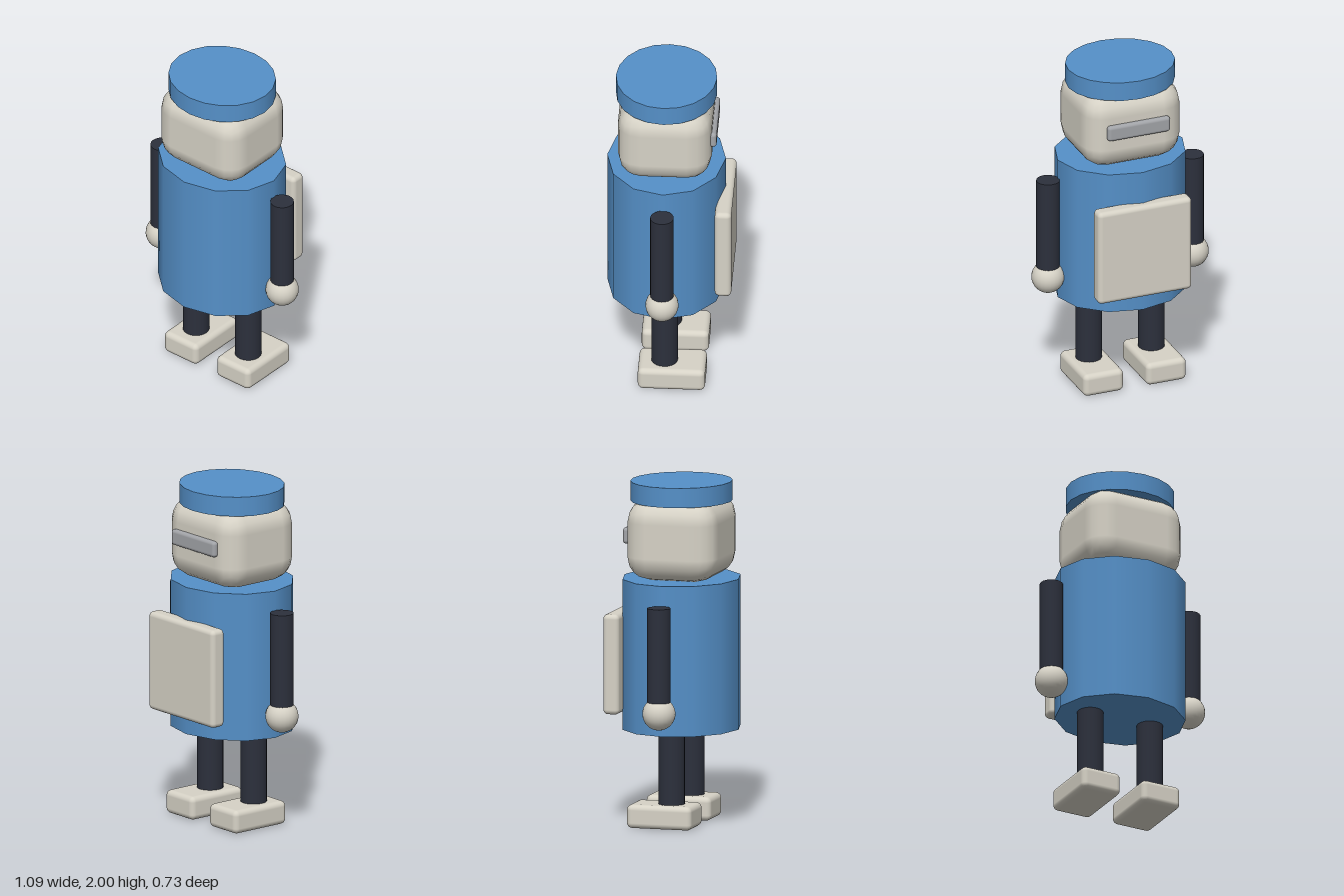
import * as THREE from 'three';
import { RoundedBoxGeometry } from 'three/addons/geometries/RoundedBoxGeometry.js';

const BLUE = 0x5590c8, DARK = 0x2c303c, CREAM = 0xd6d2c6, SILVER = 0xa2a4a8;
const AXIS_Z = 0.023; // depth of the central axis of body, head and limbs

export function createModel() {
  const model = new THREE.Group();
  const materials = new Map();

  function add(name, geometry, color, x, y, z) {
    if (!materials.has(color)) materials.set(color, new THREE.MeshStandardMaterial({ color }));
    const mesh = new THREE.Mesh(geometry, materials.get(color));
    mesh.name = name;
    mesh.position.set(x, y, z);
    model.add(mesh);
    return mesh;
  }

  // Upright cylinder between two heights
  function post(name, radius, y0, y1, sides, color, x = 0) {
    const geometry = new THREE.CylinderGeometry(radius, radius, y1 - y0, sides);
    return add(name, geometry, color, x, (y0 + y1) / 2, AXIS_Z);
  }

  // Rounded block given by size, corner radius and centre
  function block(name, [w, h, d], radius, segments, color, [x, y, z]) {
    return add(name, new RoundedBoxGeometry(w, h, d, segments, radius), color, x, y, z);
  }

  // Barrel body: a twelve-sided drum, narrower in depth
  post('body', 0.39, 0.556, 1.435, 12, BLUE).scale.z = 0.88;

  // Head, flat cap and visor bar on the -z side
  block('head', [0.61, 0.48, 0.545], 0.14, 2, CREAM, [0, 1.675, AXIS_Z]);
  post('cap', 0.322, 1.885, 2, 20, BLUE).scale.z = 0.91;
  block('visor', [0.39, 0.095, 0.042], 0.02, 3, SILVER, [0, 1.69, -0.256]);

  // Backpack panel
  block('backpack', [0.586, 0.585, 0.096], 0.028, 3, CREAM, [0, 0.947, -0.319]);

  // Limbs, mirrored left and right
  for (const [side, s] of [['left', 1], ['right', -1]]) {
    post(side + 'Arm', 0.068, 0.7, 1.318, 20, DARK, s * 0.451);
    add(side + 'Hand', new THREE.SphereGeometry(0.096, 24, 16), CREAM, s * 0.451, 0.7, AXIS_Z);
    post(side + 'Leg', 0.077, 0.1, 0.58, 20, DARK, s * 0.196);
    block(side + 'Foot', [0.25, 0.138, 0.39], 0.032, 3, CREAM, [s * 0.196, 0.069, -0.022]);
  }

  return model;
}
